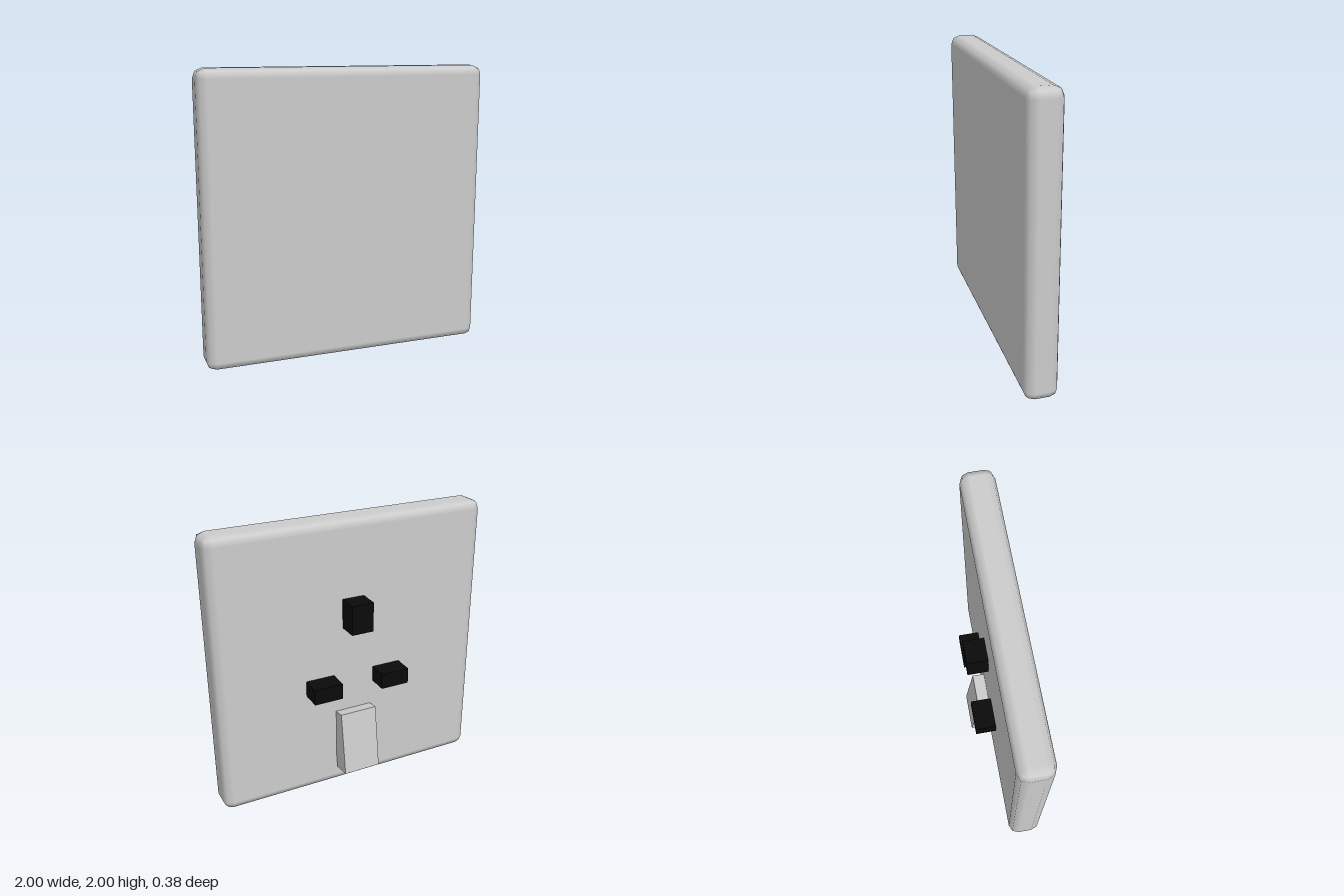
import * as THREE from 'three';
import { RoundedBoxGeometry } from 'three/addons/geometries/RoundedBoxGeometry.js';

export function createModel() {
  const model = new THREE.Group();
  model.name = 'wallSocket';

  const plastic = new THREE.MeshStandardMaterial({ color: 0xcccccc });
  plastic.name = 'light grey plastic';
  const black = new THREE.MeshStandardMaterial({ color: 0x0a0a0a });
  black.name = 'black';

  const add = (name, geometry, material, x, y, z) => {
    const mesh = new THREE.Mesh(geometry, material);
    mesh.name = name;
    mesh.position.set(x, y, z);
    model.add(mesh);
    return mesh;
  };

  // Square plate with two-step rounded edges
  add('plate', new RoundedBoxGeometry(2, 2, 0.23, 1, 0.065), plastic, 0, 1, 0.075);

  // Three black contact blocks on the back, sunk slightly into the plate
  const block = (name, w, h, x, y) =>
    add(name, new THREE.BoxGeometry(w, h, 0.165), black, x, y, -0.1);
  block('earthContact', 0.16, 0.21, 0, 1.35);
  block('leftContact', 0.21, 0.113, 0.255, 0.84);
  block('rightContact', 0.21, 0.113, -0.26, 0.84);

  // Tilted rocker switch, its lower end standing proud
  const rocker = add('rockerSwitch', new THREE.BoxGeometry(0.272, 0.465, 0.137), plastic, 0, 0.375, -0.09);
  rocker.rotation.x = 0.14;

  return model;
}
